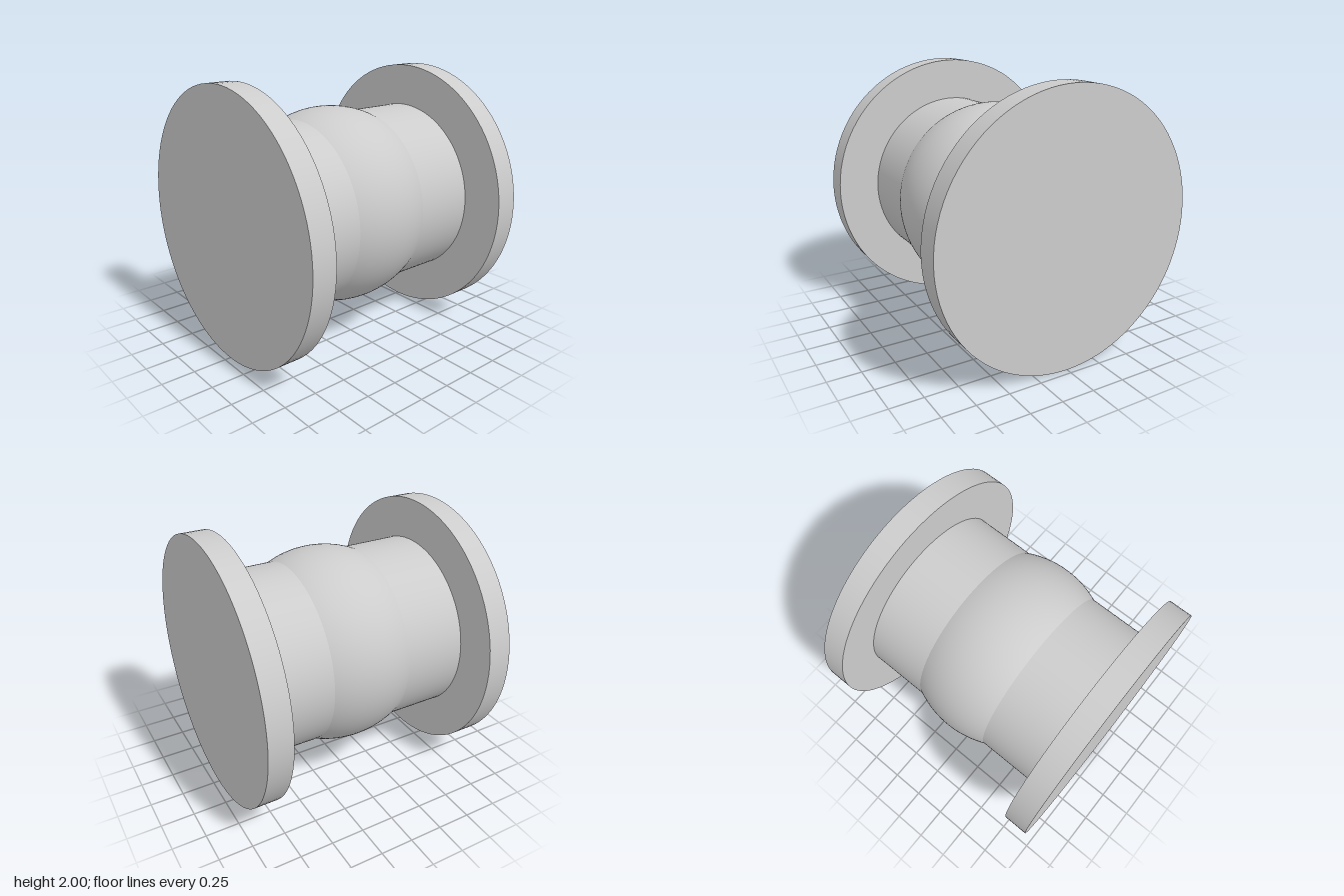
import * as THREE from 'three';

const SEGMENTS = 96;
const FLANGE_RADIUS = 1, FLANGE_INNER = 0.775, FLANGE_OUTER = 0.955;
const PIPE_RADIUS = 0.685, BULGE_RADIUS = 0.75;

export function createModel() {
  const model = new THREE.Group();
  model.name = 'flangedPipeFitting';

  const metal = new THREE.MeshStandardMaterial({ color: 0xcccccc });
  metal.name = 'light grey metal';

  // Everything is turned about y, then laid along x
  const body = new THREE.Group();
  body.name = 'body';
  body.rotation.z = -Math.PI / 2;
  body.position.y = FLANGE_RADIUS;
  model.add(body);

  const add = (name, geometry, along = 0) => {
    const mesh = new THREE.Mesh(geometry, metal);
    mesh.name = name;
    mesh.position.y = along;
    body.add(mesh);
  };

  // Spherical bulge, cut where it meets the pipes
  const bulgeHalf = Math.sqrt(BULGE_RADIUS ** 2 - PIPE_RADIUS ** 2);
  const theta = Math.acos(bulgeHalf / BULGE_RADIUS);
  add('bulge', new THREE.SphereGeometry(
    BULGE_RADIUS, SEGMENTS, 24, 0, Math.PI * 2, theta, Math.PI - 2 * theta));

  // Pipe and solid end flange on each side
  const pipeLength = FLANGE_INNER - bulgeHalf;
  const flangeWidth = FLANGE_OUTER - FLANGE_INNER;
  for (const [side, s] of [['left', 1], ['right', -1]]) {
    add(side + 'Pipe',
      new THREE.CylinderGeometry(PIPE_RADIUS, PIPE_RADIUS, pipeLength, SEGMENTS, 1, true),
      s * (bulgeHalf + pipeLength / 2));
    add(side + 'Flange',
      new THREE.CylinderGeometry(FLANGE_RADIUS, FLANGE_RADIUS, flangeWidth, SEGMENTS),
      s * (FLANGE_INNER + flangeWidth / 2));
  }

  return model;
}
